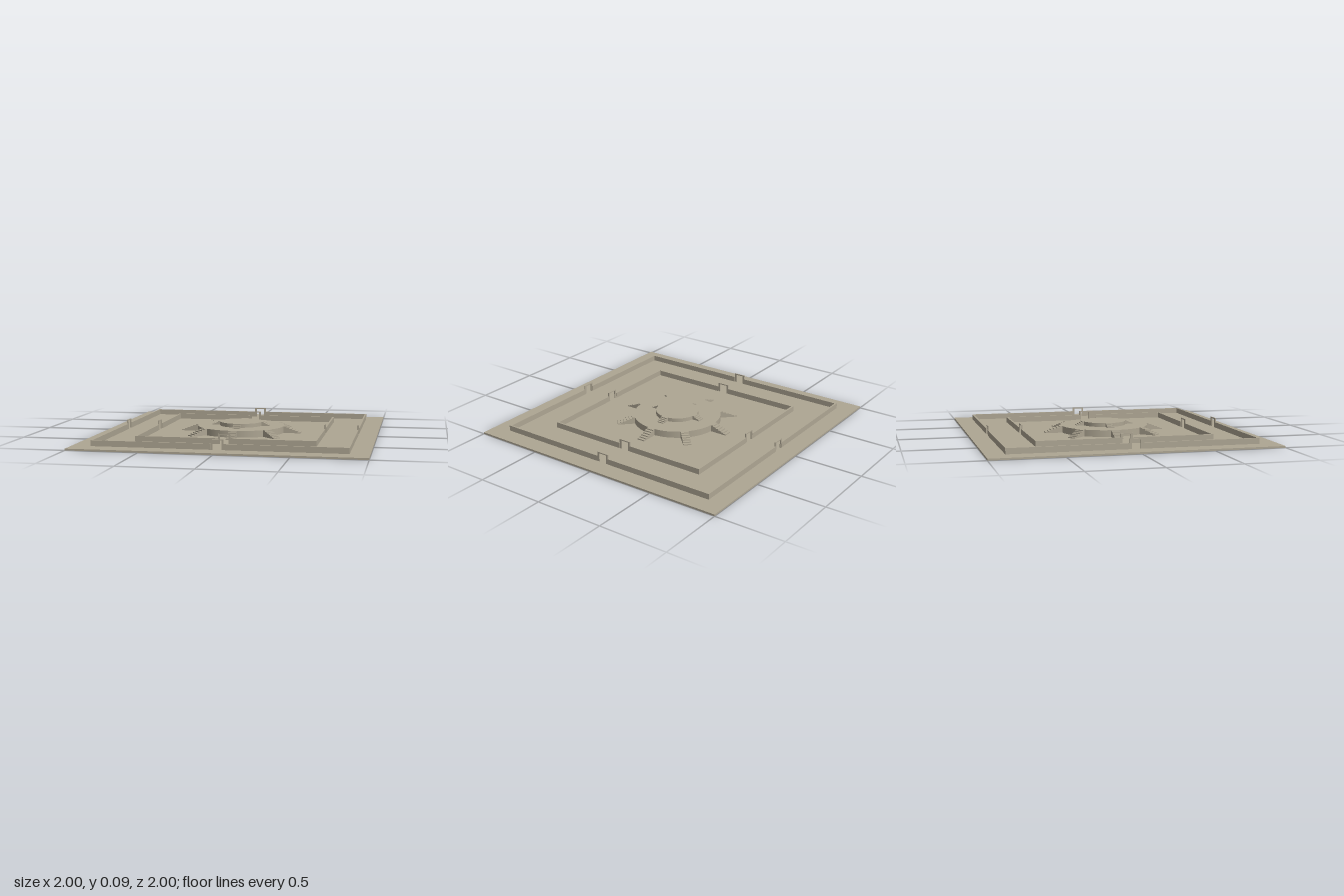
import * as THREE from 'three';

const stone = new THREE.MeshStandardMaterial({ color: 0xaea693 });
stone.name = 'stone';

const GROUND = 0.012, TERRACE = 0.06, SUMMIT = 0.088;

function add(parent, name, geometry, x = 0, y = 0, z = 0) {
  const mesh = new THREE.Mesh(geometry, stone);
  mesh.name = name;
  mesh.position.set(x, y, z);
  parent.add(mesh);
  return mesh;
}

// Square enclosure: four walls, each broken by a raised open gateway
function enclosure(name, half) {
  const group = new THREE.Group();
  group.name = name;
  const thick = 0.013, gateHalf = 0.044, top = 0.052, gateTop = 0.082;
  const h = top - GROUND, length = half - gateHalf;

  const frame = new THREE.Shape([
    [-gateHalf, GROUND], [-0.03, GROUND], [-0.03, 0.074], [0.03, 0.074],
    [0.03, GROUND], [gateHalf, GROUND], [gateHalf, gateTop], [-gateHalf, gateTop],
  ].map(([x, y]) => new THREE.Vector2(x, y)));
  const gate = new THREE.ExtrudeGeometry(frame, { depth: 0.008, bevelEnabled: false });

  for (let i = 0; i < 4; i++) {
    const side = new THREE.Group();
    side.name = 'wallSide';
    side.rotation.y = i * Math.PI / 2;
    for (const s of [-1, 1]) {
      add(side, 'wall', new THREE.BoxGeometry(length, h, thick),
        s * (gateHalf + length / 2), GROUND + h / 2, half - thick / 2);
    }
    add(side, 'gateway', gate, 0, 0, half - thick / 2 - 0.004);
    group.add(side);
  }
  return group;
}

// Stepped profile running outward along +z, extruded across the stair width
function stairGeometry(inner, outer, low, high, steps, width) {
  const shape = new THREE.Shape();
  const run = (outer - inner) / steps, rise = (high - low) / steps;
  shape.moveTo(inner - 0.02, low);
  shape.lineTo(outer, low);
  for (let i = 0; i < steps; i++) {
    shape.lineTo(outer - i * run, low + (i + 1) * rise);
    if (i < steps - 1) shape.lineTo(outer - (i + 1) * run, low + (i + 1) * rise);
  }
  shape.lineTo(inner - 0.02, high);
  shape.closePath();
  const geo = new THREE.ExtrudeGeometry(shape, { depth: width, bevelEnabled: false });
  geo.translate(0, 0, -width / 2);
  geo.rotateY(-Math.PI / 2);
  return geo;
}

function stairRing(parent, name, count, geometry) {
  for (let i = 0; i < count; i++) {
    add(parent, name, geometry).rotation.y = i * 2 * Math.PI / count;
  }
}

export function createModel() {
  const model = new THREE.Group();
  model.name = 'walledMound';

  add(model, 'groundSlab', new THREE.BoxGeometry(2, GROUND, 2), 0, GROUND / 2, 0);
  model.add(enclosure('outerEnclosure', 0.868));
  model.add(enclosure('innerEnclosure', 0.628));

  // Two round terraces
  const mound = new THREE.Group();
  mound.name = 'mound';
  add(mound, 'lowerTerrace', new THREE.CylinderGeometry(0.32, 0.32, TERRACE - GROUND, 64),
    0, (TERRACE + GROUND) / 2, 0);
  add(mound, 'upperTerrace', new THREE.CylinderGeometry(0.157, 0.157, SUMMIT - TERRACE, 64),
    0, (SUMMIT + TERRACE) / 2, 0);

  // Eight lower stairways, four upper ones
  stairRing(mound, 'lowerStair', 8, stairGeometry(0.318, 0.445, GROUND, TERRACE, 6, 0.058));
  stairRing(mound, 'upperStair', 4, stairGeometry(0.155, 0.212, TERRACE, SUMMIT, 4, 0.052));
  model.add(mound);

  return model;
}
